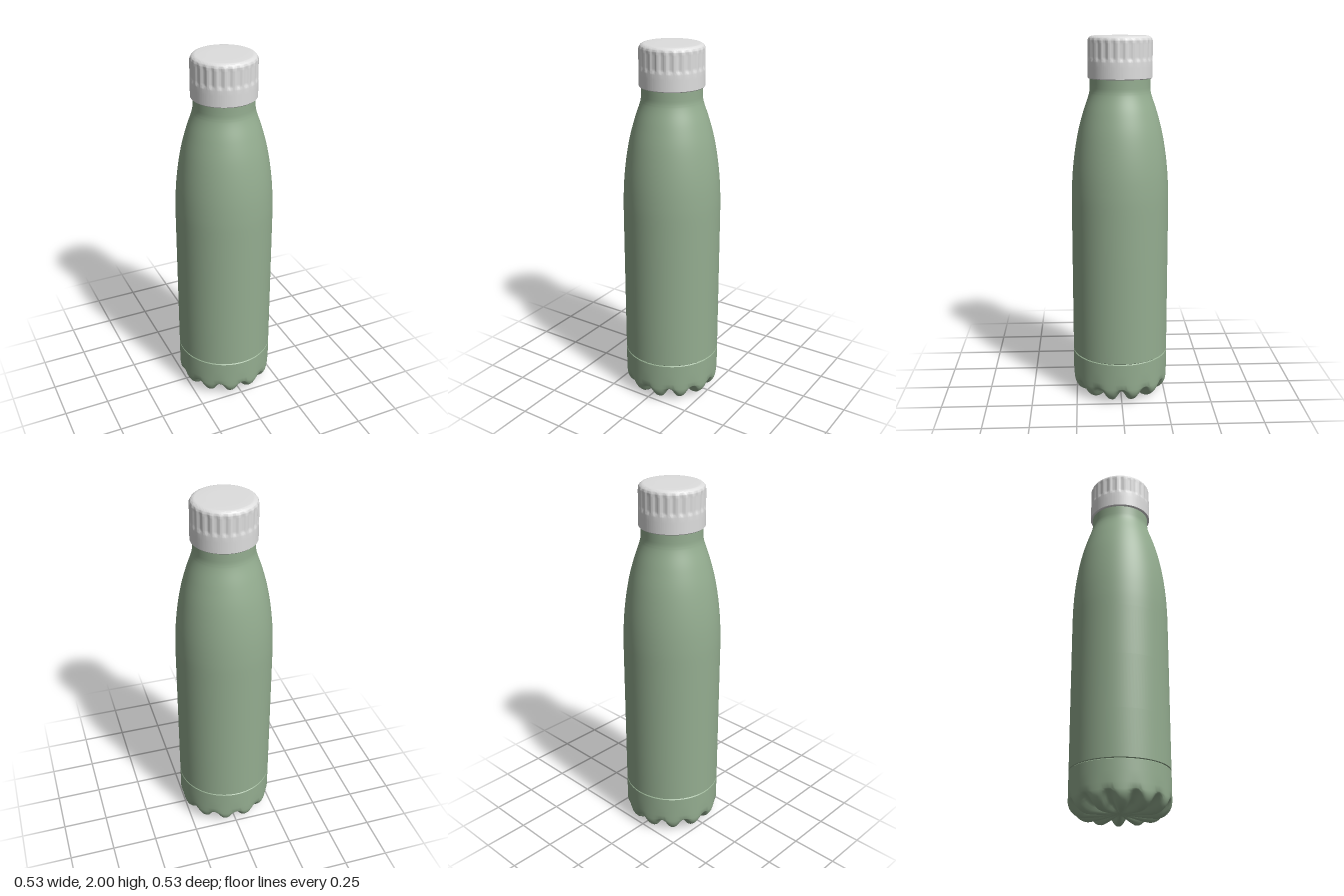
import * as THREE from 'three';
import { mergeVertices, toCreasedNormals } from 'three/addons/utils/BufferGeometryUtils.js';

const BASE_LOBES = 12;
const CAP_FLUTES = 24;
const { smoothstep } = THREE.MathUtils;

// Revolve a [radius, height] profile, then let warp(point, angle, radius) reshape each vertex
function turned(profile, segments, warp, crease) {
  const points = profile.map(([r, y]) => new THREE.Vector2(r, y));
  let geometry = new THREE.LatheGeometry(points, segments);
  const pos = geometry.attributes.position;
  const p = new THREE.Vector3();
  for (let i = 0; warp && i < pos.count; i++) {
    p.fromBufferAttribute(pos, i);
    warp(p, Math.atan2(p.x, p.z), Math.hypot(p.x, p.z));
    pos.setXYZ(i, p.x, p.y, p.z);
  }
  // Weld the seam so the shading runs smoothly all the way round
  geometry.deleteAttribute('uv');
  geometry.deleteAttribute('normal');
  geometry = mergeVertices(geometry, 1e-5);
  geometry.computeVertexNormals();
  return crease ? toCreasedNormals(geometry, crease) : geometry;
}

function arc(cx, cy, radius, from, to, steps) {
  return Array.from({ length: steps + 1 }, (_, i) => {
    const a = from + ((to - from) * i) / steps;
    return [cx + radius * Math.cos(a), cy + radius * Math.sin(a)];
  });
}

export function createModel() {
  const green = new THREE.MeshStandardMaterial({ color: 0x94ad90 });
  green.name = 'sage green';
  const white = new THREE.MeshStandardMaterial({ color: 0xdedede });
  white.name = 'cap off-white';

  const model = new THREE.Group();
  model.name = 'bottle';
  const add = (name, geometry, material) => {
    const mesh = new THREE.Mesh(geometry, material);
    mesh.name = name;
    model.add(mesh);
  };

  // Base cup: rounded foot with radial scallops underneath
  const foot = [
    [0, 0.02], [0.03, 0.017], [0.06, 0.012], [0.1, 0.006], [0.14, 0.002],
    ...arc(0.182, 0.085, 0.085, -Math.PI / 2, 0, 12),
    [0.267, 0.12], [0.267, 0.18], [0.267, 0.235], [0.262, 0.239],
  ];
  const scallop = (p, angle, r) => {
    const valley = (0.5 + 0.5 * Math.cos(BASE_LOBES * angle)) ** 1.5;
    const fade = smoothstep(r, 0, 0.17) * (1 - smoothstep(p.y, 0.01, 0.11));
    p.y += 0.045 * valley * fade;
    const pull = 1 - 0.06 * valley * fade;
    p.x *= pull;
    p.z *= pull;
  };
  add('base', turned(foot, 144, scallop, 0.7), green);

  // Body: straight wall flowing through the shoulder into the neck
  const shoulder = new THREE.SplineCurve([
    [0.267, 1.08], [0.2655, 1.17], [0.259, 1.28], [0.246, 1.39], [0.226, 1.5],
    [0.199, 1.6], [0.172, 1.68], [0.1635, 1.715], [0.162, 1.75],
  ].map(([x, y]) => new THREE.Vector2(x, y))).getPoints(40).map((v) => [v.x, v.y]);
  const body = [[0.262, 0.239], [0.267, 0.243], [0.267, 0.5], [0.267, 0.8], ...shoulder, [0.162, 1.79]];
  add('body', turned(body, 96, null, 0.6), green);

  // Cap: plain skirt, fluted grip band and rounded top
  const grip = Array.from({ length: 15 }, (_, i) => [0.174, 1.865 + i * 0.0075]);
  const cap = [
    [0.155, 1.778], [0.17, 1.778], [0.174, 1.782], [0.174, 1.84],
    ...grip,
    ...arc(0.144, 1.97, 0.03, 0, Math.PI / 2, 8).slice(1),
    [0.08, 2], [0, 2],
  ];
  const flute = (p, angle, r) => {
    if (r < 0.145) return;
    const fade = smoothstep(p.y, 1.868, 1.888) * (1 - smoothstep(p.y, 1.965, 1.995));
    const k = 1 - (0.007 / r) * fade * (0.5 + 0.5 * Math.cos(CAP_FLUTES * angle));
    p.x *= k;
    p.z *= k;
  };
  add('cap', turned(cap, 192, flute, 0.7), white);

  return model;
}
